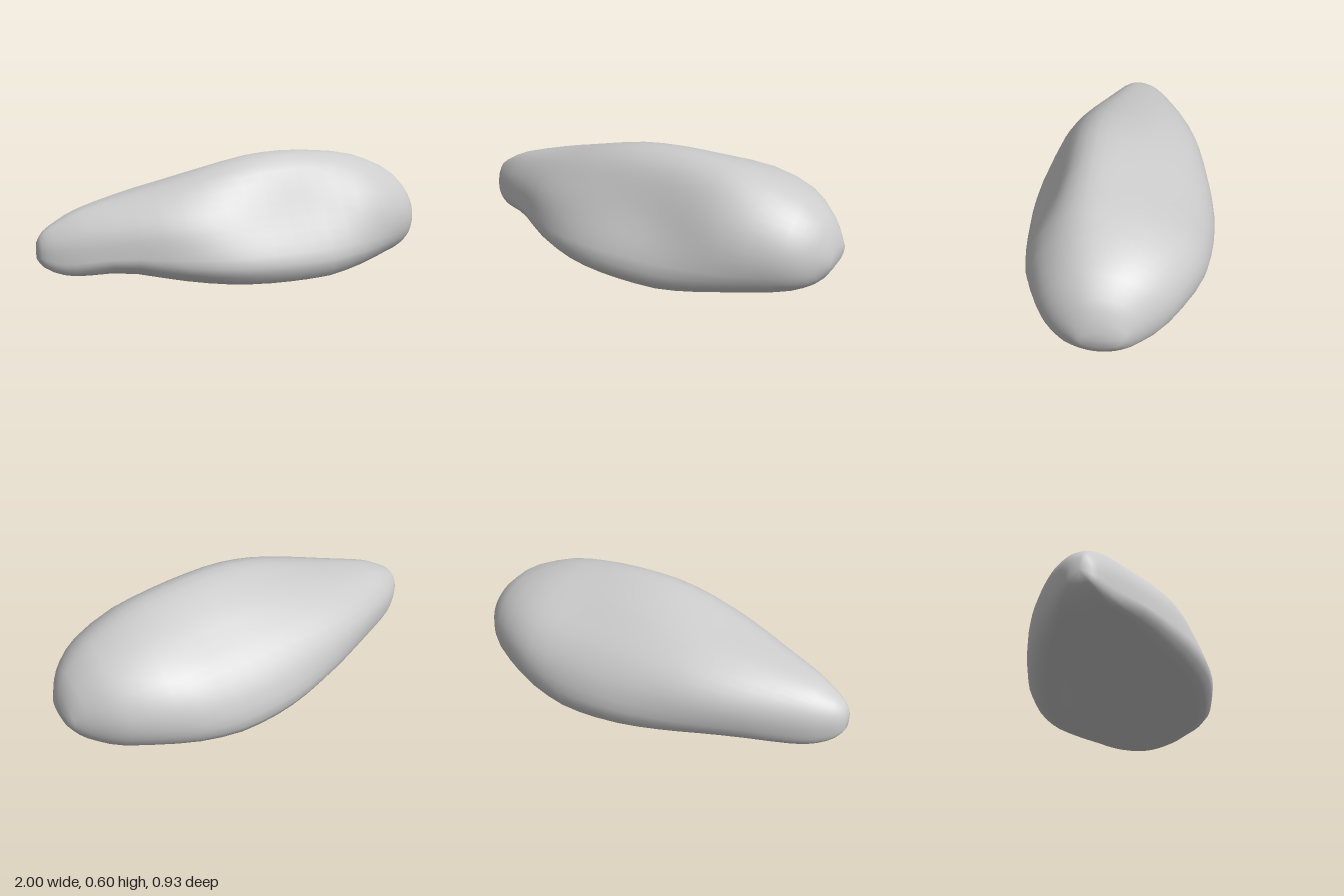
import * as THREE from 'three';

// Mid-body cross-section as [z, y], running top, back, underside, front
const SECTION = [
  [0.12, 0.6], [0.03, 0.585], [-0.1, 0.535], [-0.2, 0.48], [-0.33, 0.395], [-0.42, 0.29],
  [-0.46, 0.18], [-0.46, 0.11], [-0.435, 0.06], [-0.4, 0.03], [-0.34, 0.01], [-0.24, 0.006],
  [-0.08, 0.006], [0.1, 0.006], [0.26, 0.004], [0.36, 0.004], [0.41, 0.014], [0.45, 0.055],
  [0.465, 0.1], [0.45, 0.15], [0.42, 0.21], [0.35, 0.325], [0.27, 0.485], [0.23, 0.545], [0.18, 0.583],
];

// Stations along the body: x, bottom, top, back z, front z
const STATIONS = [
  [-1, 0.14, 0.23, -0.04, 0.025], [-0.97, 0.1, 0.275, -0.085, 0.065], [-0.9, 0.062, 0.32, -0.14, 0.115],
  [-0.8, 0.042, 0.368, -0.195, 0.17], [-0.6, 0.038, 0.425, -0.285, 0.27], [-0.4, 0.03, 0.48, -0.36, 0.375],
  [-0.2, 0.015, 0.54, -0.415, 0.44], [0, 0.008, 0.585, -0.455, 0.462], [0.2, 0.002, 0.6, -0.467, 0.455],
  [0.4, 0.003, 0.59, -0.452, 0.435], [0.6, 0.008, 0.56, -0.405, 0.39], [0.8, 0.02, 0.49, -0.305, 0.31],
  [0.9, 0.055, 0.42, -0.215, 0.24], [0.96, 0.1, 0.355, -0.145, 0.165], [1, 0.17, 0.26, -0.09, 0.085],
];

const AROUND = 48;
const { lerp, smoothstep, mapLinear } = THREE.MathUtils;
const curve = (pts, closed) => new THREE.CatmullRomCurve3(
  pts.map((p) => new THREE.Vector3(...p)), closed, 'catmullrom');

// How far a section point moves toward an oval at position x
function roundness(x, u, v) {
  if (x > 0.2) return 0.85 * smoothstep(x, 0.2, 0.9);
  const side = lerp(1, 0.7, smoothstep(u, -0.5, 0.5));
  const low = lerp(0.6, 1, smoothstep(v, -0.8, 0.2));
  return 0.85 * smoothstep(-x, -0.15, 0.65) * side * low;
}

// Height added to the underside: a broad hollow, and a raised front edge near the narrow end
function underLift(x, u, v) {
  const w = THREE.MathUtils.clamp((u + 0.7) / 1.5, 0, 1);
  const hollow = 0.06 * Math.exp(-(((x + 0.1) / 0.45) ** 2)) * 6.75 * w * (1 - w) ** 2;
  const edge = 0.035 * Math.exp(-(((x + 0.68) / 0.2) ** 2)) * smoothstep(u, -0.3, 0.4);
  return (hollow + edge) * smoothstep(-v, 0.1, 0.7);
}

// Section at one station, fitted to its extents
function ring(profile, [x, y0, y1, z0, z1]) {
  const pts = profile.map((p) => {
    const u = p.x / 0.465, v = p.y / 0.3 - 1;
    const a = Math.atan2(v + 0.1, u), r = roundness(x, u, v);
    return [lerp(u, Math.cos(a), r), lerp(v, Math.sin(a), r)];
  });
  const us = pts.map((p) => p[0]), vs = pts.map((p) => p[1]);
  const [uMin, uMax, vMin, vMax] = [Math.min(...us), Math.max(...us), Math.min(...vs), Math.max(...vs)];
  return pts.map(([u, v]) => [
    x,
    mapLinear(v, vMin, vMax, y0, y1) + underLift(x, u, v),
    mapLinear(u, uMin, uMax, z0, z1),
  ]);
}

function createBodyGeometry() {
  const profile = curve(SECTION.map(([z, y]) => [z, y, 0]), true).getSpacedPoints(AROUND).slice(0, AROUND);

  // Add a station halfway between each pair, on a smooth curve
  const heights = curve(STATIONS.map(([x, y0, y1]) => [x, y0, y1]), false);
  const widths = curve(STATIONS.map(([x, , , z0, z1]) => [x, z0, z1]), false);
  const steps = (STATIONS.length - 1) * 2;
  const rings = [];
  for (let i = 0; i <= steps; i++) {
    const h = heights.getPoint(i / steps), w = widths.getPoint(i / steps);
    rings.push(ring(profile, [h.x, h.y, h.z, w.y, w.z]));
  }

  const positions = rings.flat(2);
  const index = [];
  for (let i = 0; i < steps; i++) {
    for (let j = 0; j < AROUND; j++) {
      const a = i * AROUND + j, b = i * AROUND + (j + 1) % AROUND;
      const c = a + AROUND, d = b + AROUND;
      index.push(a, c, b, b, c, d);
    }
  }

  // Close both tips with a fan that shares the ring's smooth normals
  for (const i of [0, steps]) {
    const centre = positions.length / 3;
    positions.push(...[0, 1, 2].map((n) => rings[i].reduce((sum, p) => sum + p[n], 0) / AROUND));
    for (let j = 0; j < AROUND; j++) {
      const a = i * AROUND + j, b = i * AROUND + (j + 1) % AROUND;
      index.push(...(i ? [centre, b, a] : [centre, a, b]));
    }
  }

  const geometry = new THREE.BufferGeometry();
  geometry.setAttribute('position', new THREE.Float32BufferAttribute(positions, 3));
  geometry.setIndex(index);
  geometry.computeVertexNormals();
  return geometry;
}

export function createModel() {
  const group = new THREE.Group();
  const body = new THREE.Mesh(createBodyGeometry(), new THREE.MeshStandardMaterial({ color: 0xcccccc }));
  body.name = 'body';
  group.add(body);
  return group;
}
